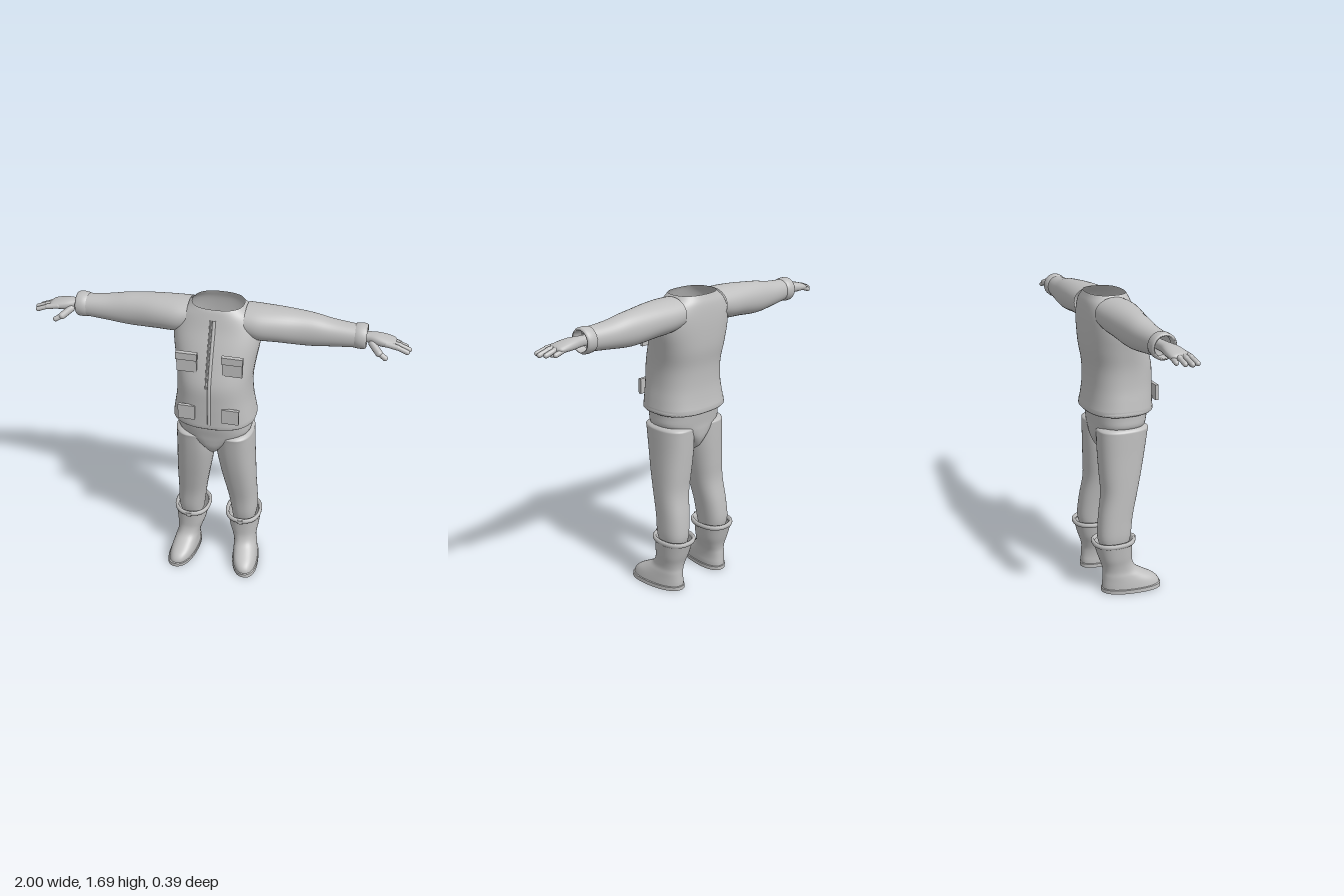
import * as THREE from 'three';

const cloth = new THREE.MeshStandardMaterial({ color: 0xbfbfbf, side: THREE.DoubleSide });
cloth.name = 'plain grey';

// Cubic blend through four values
const blend = (a, b, c, d, t) =>
  0.5 * (2 * b + (c - a) * t + (2 * a - 5 * b + 4 * c - d) * t * t + (3 * b - a - 3 * c + d) * t * t * t);

// Skin over rounded rings. Each row is [along, uMin, uMax, vMin, vMax].
// axis 'y': u = x, v = z. axis 'x': u = y, v = z. sub = 1 keeps straight segments.
function loft(rows, { axis = 'y', sub = 4, p = 2.3, n = 40, bend } = {}) {
  const rings = [];
  const last = rows.length - 1;
  for (let i = 0; i < last; i++) {
    for (let k = 0; k < sub; k++) {
      const at = (j) => rows[Math.min(last, Math.max(0, j))];
      rings.push(rows[i].map((_, c) => blend(at(i - 1)[c], at(i)[c], at(i + 1)[c], at(i + 2)[c], k / sub)));
    }
  }
  rings.push(rows[last]);
  const flip = rows[0][0] > rows[last][0];
  const pos = [], index = [];
  const round = (s) => Math.sign(s) * Math.abs(s) ** (2 / p);
  for (const [a, u0, u1, v0, v1] of rings) {
    for (let j = 0; j < n; j++) {
      const t = (j / n) * Math.PI * 2;
      const u = (u0 + u1) / 2 + ((u1 - u0) / 2) * round(Math.cos(t));
      const side = axis === 'y' ? 1 : -1;
      const v = (v0 + v1) / 2 + ((v1 - v0) / 2) * side * round(Math.sin(t));
      const q = axis === 'y' ? [u, a, v] : [a, u, v];
      if (bend) bend(q);
      pos.push(...q);
    }
  }
  for (let i = 0; i < rings.length - 1; i++) {
    for (let j = 0; j < n; j++) {
      const a = i * n + j, b = i * n + ((j + 1) % n), c = a + n, d = b + n;
      if (flip) index.push(a, b, c, b, d, c);
      else index.push(a, c, b, b, c, d);
    }
  }
  const g = new THREE.BufferGeometry();
  g.setAttribute('position', new THREE.Float32BufferAttribute(pos, 3));
  g.setIndex(index);
  g.computeVertexNormals();
  return g;
}

export function createModel() {
  const model = new THREE.Group();
  const add = (name, geo, parent = model) => {
    const m = new THREE.Mesh(geo, cloth);
    m.name = name;
    parent.add(m);
    return m;
  };
  const box = (name, x, y, z, w, h, d) => add(name, new THREE.BoxGeometry(w, h, d)).position.set(x, y, z);
  const rod = (name, a, b, r, parent) => {
    const from = new THREE.Vector3(...a), to = new THREE.Vector3(...b);
    const dir = to.clone().sub(from);
    const m = add(name, new THREE.CapsuleGeometry(r, dir.length(), 6, 14), parent);
    m.position.copy(from).add(to).multiplyScalar(0.5);
    m.quaternion.setFromUnitVectors(new THREE.Vector3(0, 1, 0), dir.normalize());
  };

  // Jacket body, open at the neck
  add('jacketBody', loft([
    [1.06, -0.225, 0.225, -0.182, 0.19],
    [1.12, -0.215, 0.215, -0.172, 0.19],
    [1.2, -0.203, 0.203, -0.165, 0.19],
    [1.3, -0.2, 0.2, -0.168, 0.186],
    [1.4, -0.213, 0.213, -0.183, 0.155],
    [1.5, -0.228, 0.228, -0.187, 0.118],
    [1.58, -0.222, 0.222, -0.185, 0.085],
    [1.64, -0.19, 0.19, -0.178, 0.065],
    [1.675, -0.15, 0.15, -0.166, 0.053],
    [1.69, -0.135, 0.135, -0.16, 0.045],
  ], { p: 2.5, n: 56 }));
  add('jacketHem', loft([
    [1.055, -0.195, 0.195, -0.15, 0.16],
    [1.045, -0.22, 0.22, -0.178, 0.186],
    [1.052, -0.225, 0.225, -0.184, 0.193],
    [1.075, -0.223, 0.223, -0.181, 0.192],
  ].map((r, i) => (i ? r : [1.044, ...r.slice(1)])), { p: 2.5, n: 56, sub: 1 }));

  // Zip placket and its seam follow the chest curve
  const front = [[1.075, 0.189], [1.2, 0.19], [1.3, 0.186], [1.4, 0.155], [1.5, 0.118], [1.58, 0.085], [1.64, 0.066]];
  const strip = (x, r, from) => new THREE.TubeGeometry(
    new THREE.CatmullRomCurve3(front.slice(from).map(([y, z]) => new THREE.Vector3(x, y, z))), 40, r, 8);
  add('zipPlacket', strip(0.004, 0.009, 0));
  add('zipSeam', strip(-0.015, 0.004, 2));

  for (const s of [1, -1]) {
    const side = s > 0 ? 'left' : 'right';

    // Pockets
    box(side + 'ChestPocket', s * 0.12, 1.425, 0.154, 0.106, 0.09, 0.018);
    box(side + 'ChestFlap', s * 0.12, 1.473, 0.16, 0.112, 0.04, 0.024);
    box(side + 'HipPocket', s * 0.118, 1.143, 0.183, 0.092, 0.085, 0.018);

    // Sleeve and hollow cuff
    add(side + 'Sleeve', loft([
      [0.15, 1.52, 1.684, -0.17, 0.045],
      [0.22, 1.505, 1.684, -0.17, 0.05],
      [0.32, 1.5, 1.68, -0.165, 0.035],
      [0.42, 1.492, 1.672, -0.158, 0.015],
      [0.5, 1.492, 1.663, -0.15, 0.005],
      [0.6, 1.503, 1.645, -0.138, -0.002],
      [0.73, 1.517, 1.634, -0.122, -0.005],
    ].map(([x, ...r]) => [s * x, ...r]), { axis: 'x', p: 2.1 }));
    add(side + 'SleeveCuff', loft(
      [[0.705, 0.056], [0.712, 0.064], [0.735, 0.067], [0.76, 0.066], [0.77, 0.06], [0.768, 0.052], [0.72, 0.05]]
        .map(([x, r]) => [s * x, 1.576 - r, 1.576 + r, -0.067 - r, -0.067 + r]), { axis: 'x', sub: 1, p: 2 }));

    // Hand
    const hand = new THREE.Group();
    hand.name = side + 'Hand';
    model.add(hand);
    add('palm', loft([
      [0.7, 1.55, 1.6, -0.095, -0.04],
      [0.77, 1.55, 1.602, -0.095, -0.035],
      [0.82, 1.545, 1.602, -0.104, -0.018],
      [0.87, 1.545, 1.594, -0.108, -0.008],
      [0.91, 1.548, 1.582, -0.1, -0.008],
      [0.925, 1.564, 1.566, -0.06, -0.05],
    ].map(([x, ...r]) => [s * x, ...r]), { axis: 'x', n: 24 }), hand);
    [[-0.092, -0.09, 0.935], [-0.068, -0.062, 0.97], [-0.042, -0.034, 0.987], [-0.02, -0.004, 0.978]]
      .forEach(([z0, z1, x]) => {
        rod('finger', [s * 0.87, 1.57, z0], [s * (x - 0.05), 1.563, (z0 + z1) / 2], 0.0145, hand);
        rod('fingerTip', [s * (x - 0.05), 1.563, (z0 + z1) / 2], [s * x, 1.547, z1], 0.0125, hand);
      });
    rod('thumbBase', [s * 0.8, 1.558, -0.03], [s * 0.84, 1.53, 0.008], 0.019, hand);
    rod('thumbTip', [s * 0.84, 1.53, 0.008], [s * 0.873, 1.513, 0.02], 0.014, hand);

    // Trouser leg, tucked into the boot
    const upright = (rows) => rows.map(([y, a, b, z0, z1]) => [y, ...(s > 0 ? [a, b] : [-b, -a]), z0, z1]);
    add(side + 'TrouserLeg', loft(upright([
      [0.28, 0.09, 0.225, -0.15, 0.012],
      [0.34, 0.083, 0.234, -0.162, 0.026],
      [0.45, 0.068, 0.231, -0.152, 0.04],
      [0.58, 0.045, 0.227, -0.131, 0.07],
      [0.7, 0.024, 0.223, -0.135, 0.098],
      [0.82, 0.008, 0.218, -0.14, 0.122],
      [0.93, 0.008, 0.215, -0.143, 0.14],
      [0.955, 0.015, 0.212, -0.14, 0.142],
      [0.968, 0.04, 0.195, -0.11, 0.115],
    ]), { p: 2.4 }));

    // Boot: shaft and foot, sole, rolled top; the toes turn out a little
    const splay = (q) => { q[0] += s * 0.12 * (q[2] + 0.05) * Math.max(0, 1 - q[1] / 0.2); };
    add(side + 'Boot', loft(upright([
      [0.02, 0.105, 0.252, -0.142, 0.19],
      [0.045, 0.105, 0.25, -0.142, 0.184],
      [0.07, 0.107, 0.247, -0.14, 0.16],
      [0.1, 0.108, 0.242, -0.138, 0.105],
      [0.13, 0.105, 0.236, -0.137, 0.058],
      [0.17, 0.092, 0.238, -0.145, 0.036],
      [0.22, 0.075, 0.246, -0.162, 0.032],
      [0.3, 0.063, 0.254, -0.184, 0.034],
    ]), { bend: splay }));
    const rim = [0.1, 0.257, -0.147, 0.196];
    const mid = [0.178, 0.178, 0.02, 0.02];
    add(side + 'Sole', loft(upright([
      [0, ...mid], [0, ...rim], [0, ...rim], [0.022, ...rim], [0.022, ...rim], [0.026, 0.108, 0.25, -0.14, 0.188],
    ]), { sub: 1, bend: splay }));
    add(side + 'BootTop', loft(
      upright([[0.288, 0.012], [0.292, 0.003], [0.3, 0], [0.31, 0], [0.317, 0.006], [0.316, 0.016], [0.3, 0.02]]
        .map(([y, e]) => [y, 0.048 + e, 0.259 - e, -0.195 + e, 0.054 - e])), { sub: 1 }));
    box(side + 'BootTab', s * 0.155, 0.302, 0.052, 0.03, 0.025, 0.014);
  }

  // Hips, tapering to the crotch between the legs
  add('hips', loft([
    [0.8, -0.012, 0.012, -0.07, 0.05],
    [0.83, -0.035, 0.035, -0.11, 0.1],
    [0.88, -0.08, 0.08, -0.137, 0.135],
    [0.93, -0.15, 0.15, -0.144, 0.147],
    [0.97, -0.198, 0.198, -0.145, 0.153],
    [1.02, -0.201, 0.201, -0.15, 0.163],
    [1.07, -0.2, 0.2, -0.155, 0.168],
  ], { p: 2.4, n: 48 }));

  return model;
}
